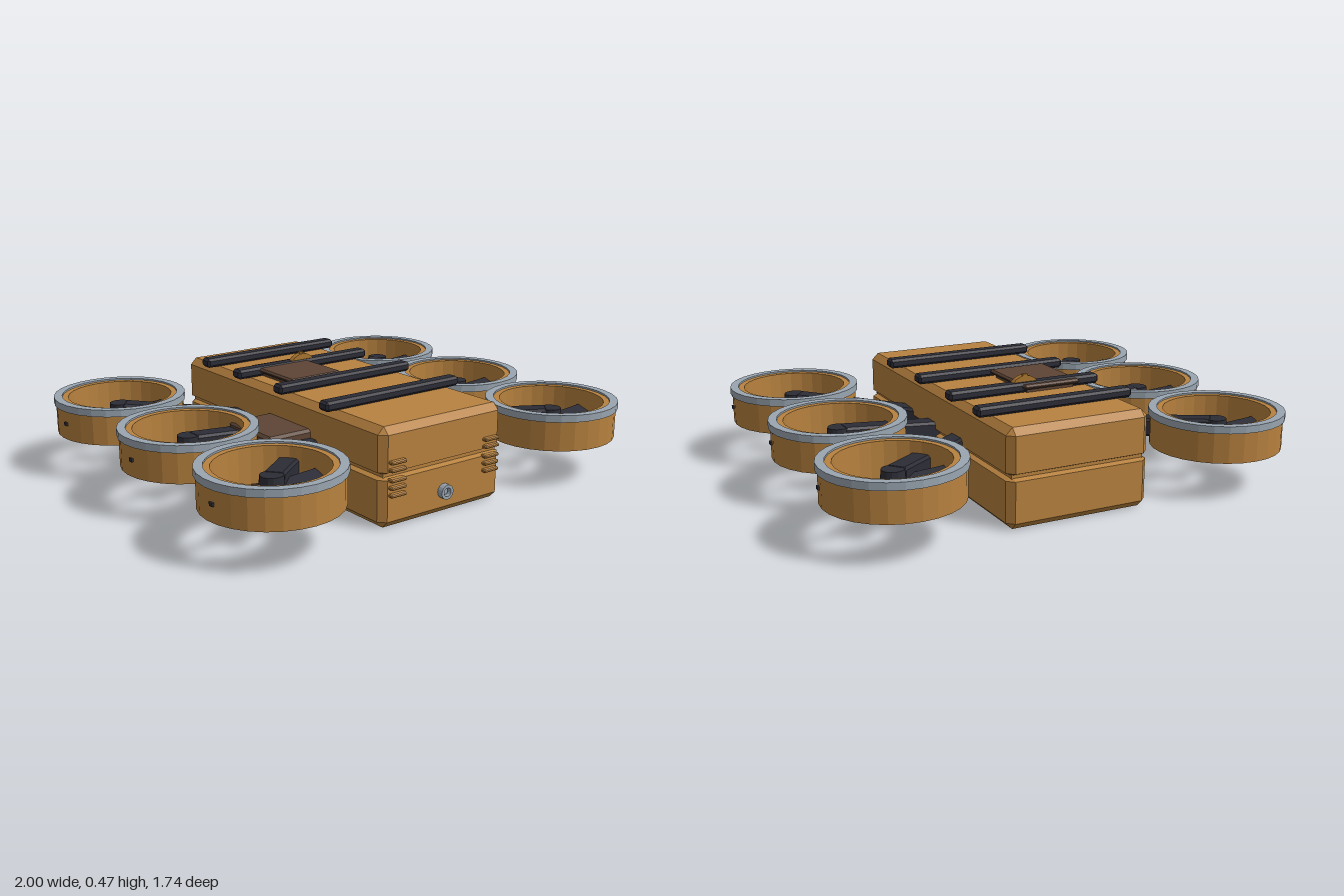
import * as THREE from 'three';
import { ConvexGeometry } from 'three/addons/geometries/ConvexGeometry.js';

const mat = (name, color, extra = {}) => {
  const m = new THREE.MeshStandardMaterial({ color, flatShading: true, ...extra });
  m.name = name;
  return m;
};

// Box with bevelled edges; bottom and top bevels may differ from the sides
function chamferBox(w, h, d, c, top = c, bottom = c) {
  const pts = [];
  for (const sx of [-1, 1]) for (const sy of [-1, 1]) for (const sz of [-1, 1]) {
    const X = w / 2, Y = h / 2, Z = d / 2, v = sy > 0 ? top : bottom;
    pts.push(
      new THREE.Vector3(sx * (X - c), sy * Y, sz * (Z - c)),
      new THREE.Vector3(sx * X, sy * (Y - v), sz * (Z - c)),
      new THREE.Vector3(sx * (X - c), sy * (Y - v), sz * Z));
  }
  return new ConvexGeometry(pts);
}

// Closed ring of rectangular section standing along y
function ring(inner, outer, y0, y1, sides = 28) {
  const p = [[inner, y0], [outer, y0], [outer, y1], [inner, y1], [inner, y0]];
  return new THREE.LatheGeometry(p.map(([r, y]) => new THREE.Vector2(r, y)), sides);
}

export function createModel() {
  const model = new THREE.Group();
  model.name = 'cargoDrone';
  const tan = mat('tan shell', 0xb8823f);
  const grey = mat('grey metal', 0x9aa6b1);
  const dark = mat('dark frame', 0x2c2c36);
  const brown = mat('dark brown', 0x5e4535);
  const brass = mat('brass', 0xa8752f);

  const add = (name, geo, material, x = 0, y = 0, z = 0, parent = model) => {
    const m = new THREE.Mesh(geo, material);
    m.name = name;
    m.position.set(x, y, z);
    parent.add(m);
    return m;
  };

  // Two-part hull with a seam
  add('lowerHull', chamferBox(0.62, 0.207, 1.42, 0.028, 0.012, 0.028), tan, 0, 0.1035, 0);
  add('upperHull', chamferBox(0.62, 0.187, 1.42, 0.028, 0.028, 0.012), tan, 0, 0.3065, 0);
  add('hullCore', new THREE.BoxGeometry(0.58, 0.06, 1.38), tan, 0, 0.21, 0);

  // Straps across the lid
  for (const z of [0.385, 0.07, -0.24, -0.495])
    add('strap', chamferBox(0.69, 0.04, 0.06, 0.01), dark, 0, 0.42, z);

  // Lid panel and its clasp
  add('lidPanel', chamferBox(0.26, 0.02, 0.32, 0.008), brown, -0.11, 0.425, -0.13);
  add('lidPanelBase', new THREE.BoxGeometry(0.22, 0.03, 0.28), brown, -0.11, 0.405, -0.13);
  const clasp = add('clasp', new THREE.CylinderGeometry(0.07, 0.07, 0.026, 20), brass, -0.005, 0.397, -0.235);
  clasp.rotation.x = Math.PI / 2;
  add('claspPin', new THREE.BoxGeometry(0.02, 0.03, 0.014), brass, -0.005, 0.458, -0.24);

  // Front vents and port
  for (const x of [-0.24, 0.24])
    for (const y of [0.135, 0.165, 0.195, 0.235, 0.265])
      add('vent', chamferBox(0.075, 0.014, 0.03, 0.004), tan, x, y, 0.715);
  const port = add('frontPort', ring(0.018, 0.03, 0, 0.03, 16), grey, 0, 0.095, 0.705);
  port.rotation.x = Math.PI / 2;
  const lens = add('portCore', new THREE.CylinderGeometry(0.012, 0.012, 0.02, 12), grey, 0, 0.095, 0.712);
  lens.rotation.x = Math.PI / 2;

  // Blade outline, widening toward the tip
  const bladeShape = new THREE.Shape([[0.02, -0.016], [0.215, -0.035], [0.215, 0.035], [0.02, 0.016]]
    .map(([x, y]) => new THREE.Vector2(x, y)));
  const bladeGeo = new THREE.ExtrudeGeometry(bladeShape, { depth: 0.012, bevelEnabled: false });
  bladeGeo.translate(0, 0, -0.006).rotateX(-Math.PI / 2 + 0.3);

  const ductGeo = ring(0.22, 0.272, 0.17, 0.3);
  const lipGeo = ring(0.245, 0.28, 0.295, 0.325);
  const trimGeo = ring(0.22, 0.246, 0.295, 0.318);
  const hubGeo = new THREE.CylinderGeometry(0.045, 0.052, 0.09, 14);

  // Six ducted rotors and their arms
  for (const side of [-1, 1]) for (const row of [-1, 0, 1]) {
    const rotor = new THREE.Group();
    rotor.name = 'rotor';
    rotor.position.set(side * 0.72, 0, row * 0.59);
    model.add(rotor);
    add('duct', ductGeo, tan, 0, 0, 0, rotor);
    add('ductLip', lipGeo, grey, 0, 0, 0, rotor);
    add('ductTrim', trimGeo, tan, 0, 0, 0, rotor);
    add('hub', hubGeo, dark, 0, 0.235, 0, rotor);
    for (const turn of [0, Math.PI])
      add('blade', bladeGeo, dark, 0, 0.235, 0, rotor).rotation.y = turn;
    add('ductBolt', new THREE.BoxGeometry(0.012, 0.014, 0.02), dark, side * 0.27, 0.24, 0.035, rotor);

    const from = new THREE.Vector3(side * 0.25, 0.212, row * 0.2);
    const to = new THREE.Vector3(side * 0.71, 0.245, row * 0.582);
    const arm = add('arm', chamferBox(0.085, 0.075, from.distanceTo(to), 0.01), dark);
    arm.position.copy(from).add(to).multiplyScalar(0.5);
    arm.lookAt(to);
  }

  // Side equipment box with a toothed drum on its front
  add('sideBox', chamferBox(0.21, 0.245, 0.3, 0.012), brown, -0.405, 0.168, 0.11);
  const drum = new THREE.Shape().absarc(0, 0, 0.1, 0, Math.PI * 2);
  const teeth = [];
  for (let i = 0; i < 40; i++) {
    const a = -i / 40 * Math.PI * 2, r = i % 2 ? 0.076 : 0.088;
    teeth.push(new THREE.Vector2(r * Math.cos(a), r * Math.sin(a)));
  }
  drum.holes.push(new THREE.Path(teeth));
  add('drumRing', new THREE.ExtrudeGeometry(drum, { depth: 0.105, bevelEnabled: false, curveSegments: 14 }),
    grey, -0.41, 0.165, 0.255);
  const axle = add('drumAxle', new THREE.CylinderGeometry(0.025, 0.025, 0.09, 14), brass, -0.405, 0.165, 0.3);
  axle.rotation.x = Math.PI / 2;

  return model;
}
